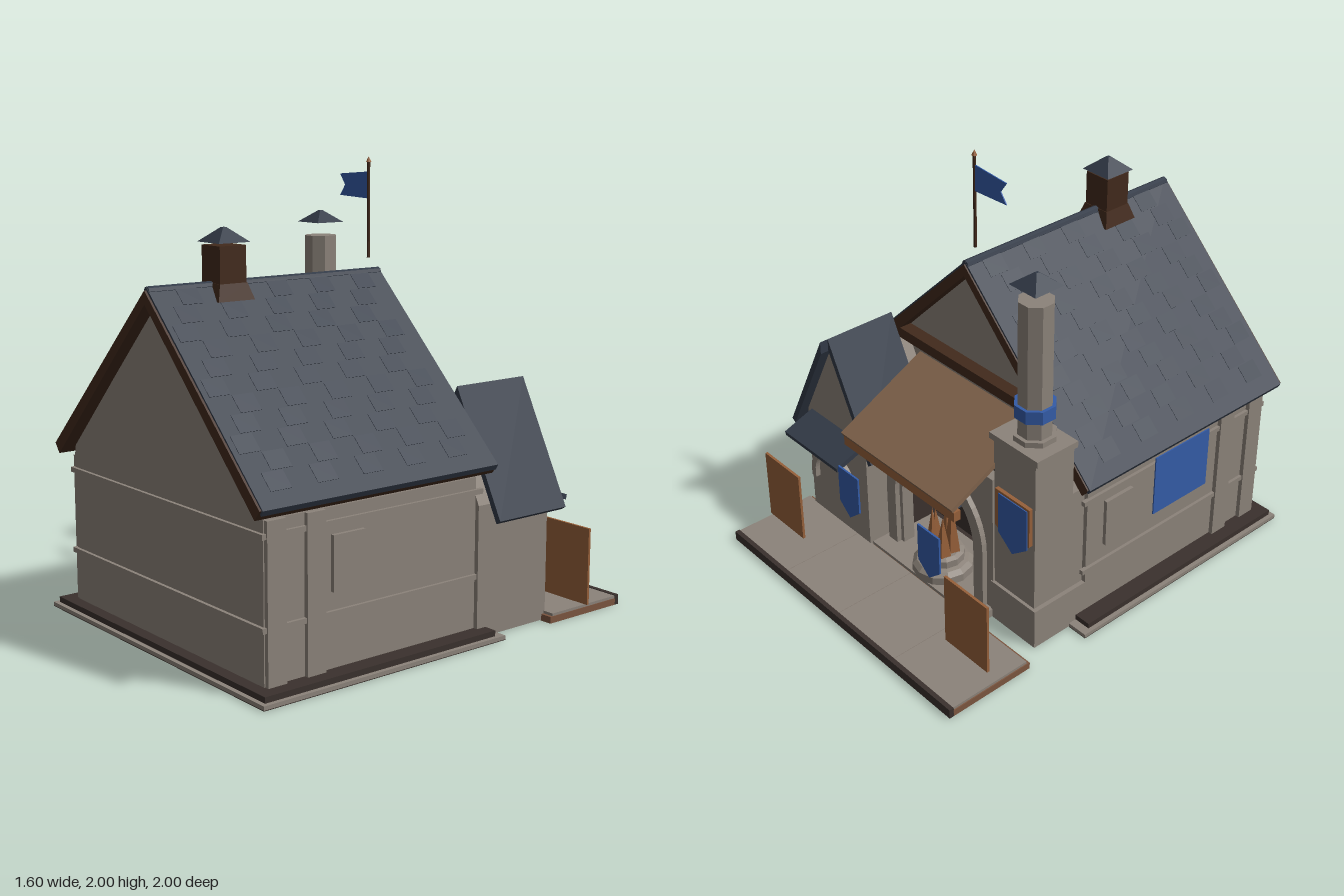
import * as THREE from 'three';
import { mergeGeometries } from 'three/addons/utils/BufferGeometryUtils.js';

const paint = (name, color, side = THREE.FrontSide) => {
  const m = new THREE.MeshStandardMaterial({ color, side, flatShading: true });
  m.name = name;
  return m;
};

export function createModel() {
  const stone = paint('stone', 0x8c837a);
  const charcoal = paint('charcoal', 0x3a312d);
  const slate = paint('slate', 0x333b48);
  const timber = paint('dark timber', 0x422a1c);
  const copper = paint('red wood', 0x96603a);
  const brown = paint('brown boards', 0x7c5640);
  const tan = paint('tan boards', 0x80634b);
  const blue = paint('blue cloth', 0x345ca8, THREE.DoubleSide);

  const house = new THREE.Group();
  house.name = 'house';
  const add = (name, mat, geo, x = 0, y = 0, z = 0) => {
    const m = new THREE.Mesh(geo, mat);
    m.name = name;
    m.position.set(x, y, z);
    house.add(m);
    return m;
  };
  // Box given by its limits
  const box = (name, mat, x0, x1, y0, y1, z0, z1) =>
    add(name, mat, new THREE.BoxGeometry(x1 - x0, y1 - y0, z1 - z0), (x0 + x1) / 2, (y0 + y1) / 2, (z0 + z1) / 2);
  const outline = (pts) => new THREE.Shape(pts.map(([x, y]) => new THREE.Vector2(x, y)));
  const extrude = (shape, depth) => new THREE.ExtrudeGeometry(shape, { depth, bevelEnabled: false, curveSegments: 12 });
  // Outline in x, y drawn out along z
  const prism = (name, mat, pts, z0, z1) => add(name, mat, extrude(outline(pts), z1 - z0), 0, 0, z0);
  // Outline in z, y drawn out along x
  const sidePrism = (name, mat, pts, x0, x1) =>
    add(name, mat, extrude(outline(pts.map(([z, y]) => [-z, y])), x1 - x0).rotateY(Math.PI / 2), x0, 0, 0);
  // Four-sided taper with edges parallel to the axes
  const taper = (name, mat, top, bottom, h, x, y, z) =>
    add(name, mat, new THREE.CylinderGeometry(top * Math.SQRT2, bottom * Math.SQRT2, h, 4).rotateY(Math.PI / 4), x, y + h / 2, z);

  // Footing, its dark underside and the plinth
  box('underside', charcoal, -0.8, 0.8, 0, 0.003, -0.26, 1);
  box('footing', stone, -0.8, 0.8, 0.003, 0.02, -0.26, 1);
  box('plinth', charcoal, -0.78, 0.78, 0.02, 0.045, -0.22, 0.98);

  // Main walls with both gables
  prism('mainWalls', stone, [[-0.7, 0.01], [0.7, 0.01], [0.7, 0.7], [0.69, 0.75], [0, 1.45], [-0.69, 0.75], [-0.7, 0.7]], -0.17, 0.925);
  for (const y of [0.262, 0.628]) {
    box('frontRail', stone, -0.7, 0.7, y, y + 0.022, 0.92, 0.94);
    for (const s of [-1, 1]) {
      const x = s * 0.704;
      box('sideRail', stone, x - 0.01, x + 0.01, y, y + 0.022, -0.2, 0.94);
    }
  }
  for (const s of [-1, 1]) {
    const x = s * 0.706;
    for (const z of [0.64, 0.83]) box('wallPost', stone, x - 0.014, x + 0.014, 0.045, 0.7, z, z + 0.09);
    const wz = s > 0 ? 0.44 : -0.07;
    box('sideWindow', stone, x - 0.011, x + 0.011, 0.36, 0.59, wz, wz + 0.16);
  }
  box('wallBanner', blue, -0.722, -0.716, 0.38, 0.68, 0.22, 0.56);

  // Main roof: timber lining, slate slopes and slightly raised slates
  const slope = Math.atan2(0.755, 0.77);
  for (const s of [-1, 1]) {
    prism('roofTimber', timber, [[0, 1.5], [s * 0.762, 0.757], [s * 0.73, 0.715], [0, 1.445]], -0.235, 0.985);
    prism('roofSlope', slate, [[0, 1.513], [s * 0.77, 0.758], [s * 0.757, 0.735], [0, 1.487]], -0.228, 0.975);
    const tiles = [];
    for (let r = 0; r < 11; r++) {
      for (let c = 0; c < 5; c++) {
        const t = (r + 0.7) / 12;
        const z = -0.1 + c * 0.225 + (r % 3) * 0.05;
        tiles.push(new THREE.BoxGeometry(0.085, 0.004, 0.1).rotateZ(-s * slope)
          .translate(s * 0.77 * t, 1.513 - 0.755 * t, z));
      }
    }
    add('raisedSlates', slate, mergeGeometries(tiles));
  }
  add('ridgeCap', slate, new THREE.CylinderGeometry(0.02, 0.02, 1.2, 8).rotateX(Math.PI / 2), 0, 1.496, 0.373);
  box('gableTieBeam', timber, -0.5, 0.5, 0.94, 0.99, -0.232, -0.17);

  // Ridge vent
  taper('ventFoot', timber, 0.068, 0.09, 0.07, 0, 1.437, 0.6);
  box('ventShaft', timber, -0.065, 0.065, 1.48, 1.66, 0.535, 0.665);
  taper('ventCap', slate, 0.008, 0.078, 0.06, 0, 1.672, 0.6);

  // Flag
  add('flagPole', timber, new THREE.CylinderGeometry(0.007, 0.007, 0.42, 8), 0, 1.77, -0.17);
  add('flagFinial', copper, new THREE.ConeGeometry(0.012, 0.025, 8), 0, 1.988, -0.17);
  prism('flag', blue, [[0, 1.935], [-0.195, 1.92], [-0.16, 1.872], [-0.195, 1.825], [0, 1.818]], -0.173, -0.168);

  // Stone chimney
  box('chimneyBase', stone, -0.68, -0.43, 0, 0.95, -0.45, -0.237);
  box('chimneyLink', stone, -0.68, -0.43, 0, 0.7, -0.24, -0.17);
  box('chimneyFoot', stone, -0.7, -0.42, 0.003, 0.2, -0.465, -0.17);
  box('chimneyLedge', stone, -0.7, -0.41, 0.945, 0.975, -0.46, -0.235);
  const octagon = (name, mat, r, y0, y1) =>
    add(name, mat, new THREE.CylinderGeometry(r, r, y1 - y0, 8).rotateY(Math.PI / 8), -0.555, (y0 + y1) / 2, -0.34);
  octagon('chimneyCollar', stone, 0.095, 0.975, 1.0);
  octagon('chimneyShaft', stone, 0.076, 0.99, 1.615);
  octagon('chimneyBand', blue, 0.091, 1.085, 1.145);
  taper('chimneyCap', slate, 0.006, 0.076, 0.055, -0.555, 1.677, -0.34);
  prism('shieldBoard', copper, [[-0.665, 0.72], [-0.455, 0.72], [-0.455, 0.53], [-0.56, 0.47], [-0.665, 0.53]], -0.468, -0.45);
  prism('shield', blue, [[-0.655, 0.71], [-0.48, 0.71], [-0.48, 0.51], [-0.567, 0.44], [-0.655, 0.51]], -0.474, -0.469);

  // Side annex with its steep roof
  prism('annexWalls', stone, [[0.29, 0.004], [0.72, 0.004], [0.72, 0.58], [0.51, 1.0], [0.29, 0.58]], -0.58, -0.17);
  for (const s of [-1, 1]) {
    prism('annexRoof', slate, [[0.51, 1.05], [0.51 + s * 0.272, 0.515], [0.51 + s * 0.25, 0.5], [0.51, 0.99]], s > 0 ? -0.63 : -0.59, -0.235);
  }
  sidePrism('annexAwning', slate, [[-0.57, 0.595], [-0.735, 0.535], [-0.73, 0.512], [-0.57, 0.57]], 0.3, 0.69);

  // Arched surrounds: a ring on legs
  const arch = (name, cx, spring, foot, inner, outer, z0, z1) => {
    const s = new THREE.Shape();
    s.moveTo(cx + outer, foot);
    s.lineTo(cx + outer, spring);
    s.absarc(cx, spring, outer, 0, Math.PI, false);
    s.lineTo(cx - outer, foot);
    s.lineTo(cx - inner, foot);
    s.lineTo(cx - inner, spring);
    s.absarc(cx, spring, inner, Math.PI, 0, true);
    s.lineTo(cx + inner, foot);
    add(name, stone, extrude(s, z1 - z0), 0, 0, z0);
  };
  arch('annexArch', 0.53, 0.27, 0.23, 0.13, 0.16, -0.605, -0.58);
  arch('forgeArchOuter', -0.06, 0.34, 0.04, 0.27, 0.33, -0.485, -0.45);
  arch('forgeArchInner', -0.06, 0.34, 0.04, 0.25, 0.28, -0.46, -0.4);

  // Forge front wall with arched opening
  const wall = outline([[-0.43, 0.01], [-0.33, 0.01], [-0.33, 0.34]]);
  wall.absarc(-0.06, 0.34, 0.27, Math.PI, 0, true);
  for (const [x, y] of [[0.21, 0.01], [0.3, 0.01], [0.3, 0.74], [-0.43, 0.74]]) wall.lineTo(x, y);
  add('forgeWall', stone, extrude(wall, 0.05), 0, 0, -0.46);
  box('forgeFloor', stone, -0.43, 0.3, 0.005, 0.045, -0.565, -0.17);
  box('forgeBack', charcoal, -0.43, 0.3, 0.045, 0.8, -0.2, -0.17);
  box('forgeLining', charcoal, 0.27, 0.289, 0.045, 0.74, -0.41, -0.2);
  box('forgeLining', charcoal, -0.429, -0.41, 0.045, 0.74, -0.41, -0.2);

  // Hearth, fire and hood
  const profile = [[0.14, 0], [0.14, 0.04], [0.12, 0.06], [0.1, 0.065], [0.1, 0.1], [0.08, 0.11], [0, 0.11]];
  add('hearth', stone, new THREE.LatheGeometry(profile.map(([x, y]) => new THREE.Vector2(x, y)), 12), -0.06, 0.042, -0.435);
  for (let i = 0; i < 5; i++) {
    const a = i * 1.257;
    const h = 0.2 + (i % 3) * 0.04;
    add('flame', copper, new THREE.ConeGeometry(0.04, h, 5), -0.06 + 0.045 * Math.cos(a), 0.15 + h / 2, -0.435 + 0.045 * Math.sin(a));
  }
  taper('forgeHood', slate, 0.05, 0.14, 0.22, -0.06, 0.46, -0.34);

  // Sloping canopy over the forge
  sidePrism('canopy', tan, [[-0.235, 0.935], [-0.69, 0.705], [-0.68, 0.685], [-0.235, 0.91]], -0.435, 0.31);
  box('canopyBeam', copper, -0.435, 0.31, 0.635, 0.682, -0.675, -0.64);

  // Back terrace with paving slabs
  box('terraceBase', brown, -0.775, 0.775, 0, 0.03, -0.98, -0.56);
  box('terraceEdge', charcoal, -0.775, 0.775, 0, 0.045, -1, -0.978);
  for (let i = 0; i < 4; i++) {
    const x = -0.77 + i * 0.386;
    box('pavingSlab', stone, x, x + 0.384, 0.03, 0.042, -0.978, -0.575);
  }

  // Screens and hanging banners on the terrace
  box('screen', copper, -0.71, -0.44, 0.042, 0.39, -0.741, -0.729);
  box('screen', copper, 0.525, 0.785, 0.042, 0.39, -0.792, -0.78);
  for (const x of [-0.34, 0.21]) {
    prism('hangingBanner', blue, [[x - 0.07, 0.565], [x + 0.07, 0.565], [x + 0.07, 0.38], [x, 0.32], [x - 0.07, 0.38]], -0.739, -0.73);
  }
  return house;
}
